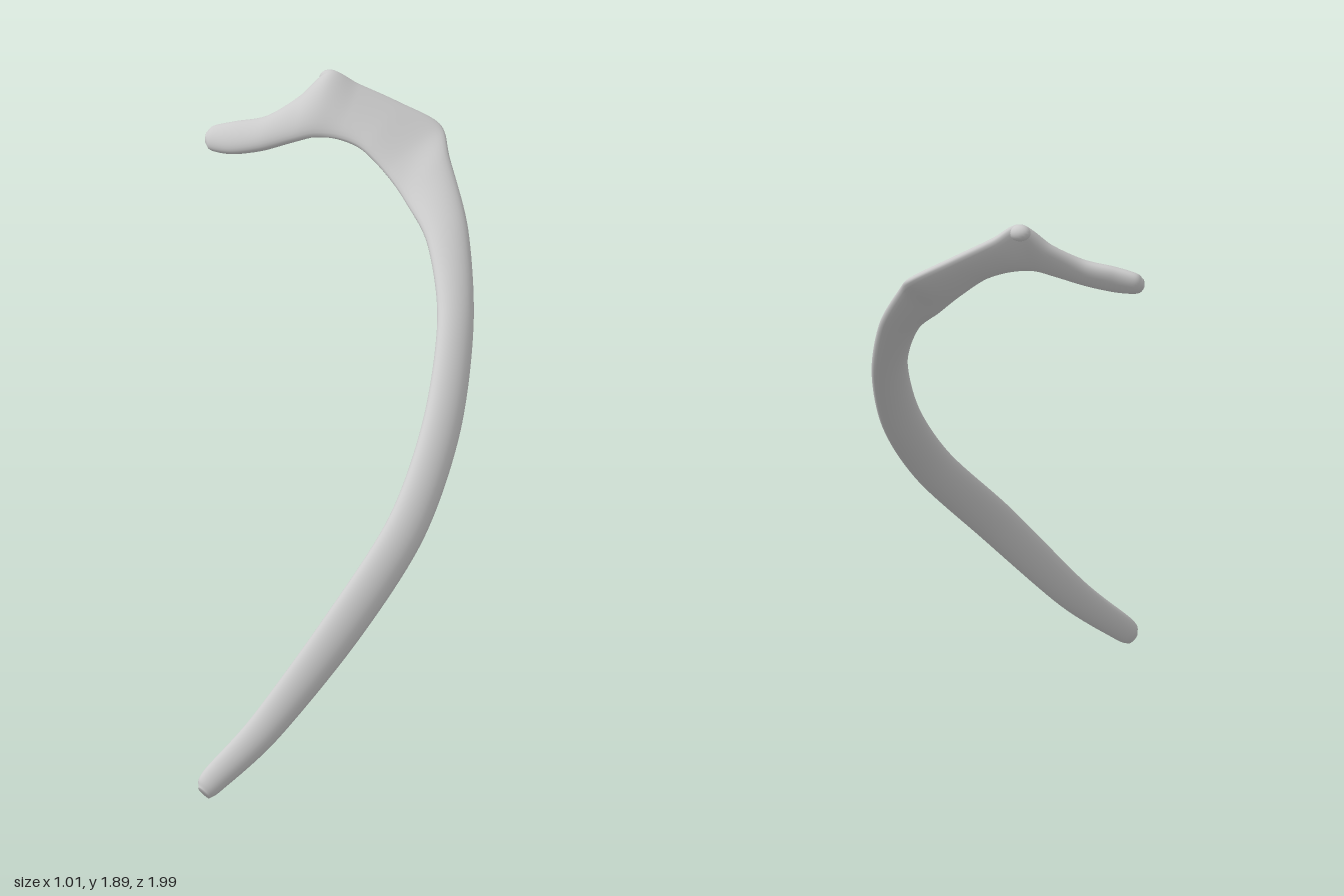
import * as THREE from 'three';

// Stations along the rib, from the thin lower end to the head:
// outer edge x,y,z, inner edge x,y,z, half thickness
const STATIONS = [
  [-0.11, 0.01, 0.985, -0.145, 0.045, 0.99, 0.015],
  [-0.07, 0.035, 0.955, -0.135, 0.095, 0.96, 0.028],
  [0.085, 0.175, 0.815, 0.00, 0.25, 0.83, 0.034],
  [0.30, 0.45, 0.58, 0.205, 0.55, 0.60, 0.037],
  [0.452, 0.71, 0.275, 0.35, 0.80, 0.305, 0.039],
  [0.499, 0.965, -0.07, 0.395, 1.035, -0.01, 0.039],
  [0.475, 1.23, -0.39, 0.375, 1.275, -0.315, 0.038],
  [0.40, 1.47, -0.66, 0.29, 1.45, -0.545, 0.036],
  [0.295, 1.645, -0.86, 0.19, 1.54, -0.675, 0.034],
  [0.235, 1.715, -0.985, 0.11, 1.615, -0.735, 0.033],
  [0.10, 1.785, -0.975, 0.02, 1.685, -0.77, 0.033],
  [-0.03, 1.85, -0.945, -0.06, 1.712, -0.778, 0.034],
  [-0.12, 1.9, -0.915, -0.14, 1.715, -0.772, 0.034],
  [-0.21, 1.82, -0.87, -0.21, 1.70, -0.755, 0.034],
  [-0.31, 1.76, -0.82, -0.31, 1.67, -0.735, 0.034],
  [-0.41, 1.74, -0.805, -0.41, 1.65, -0.735, 0.031],
  [-0.485, 1.72, -0.80, -0.485, 1.652, -0.75, 0.026],
  [-0.508, 1.70, -0.785, -0.508, 1.672, -0.765, 0.014],
];

const curveOf = (pick) => new THREE.CatmullRomCurve3(STATIONS.map(pick), false, 'catmullrom', 0.45);

// Lofts flattened oval sections between the two edge curves
function ribGeometry(steps, sides) {
  const outer = curveOf((s) => new THREE.Vector3(s[0], s[1], s[2]));
  const inner = curveOf((s) => new THREE.Vector3(s[3], s[4], s[5]));
  const depth = curveOf((s) => new THREE.Vector3(s[6], 0, 0));
  const middle = (t) => outer.getPoint(t).add(inner.getPoint(t)).multiplyScalar(0.5);
  const pos = [], idx = [];
  const d = 0.02;
  for (let i = 0; i <= steps; i++) {
    const t = i / steps;
    const c = middle(t);
    const w = outer.getPoint(t).sub(c);
    const tangent = middle(Math.min(1, t + d)).sub(middle(Math.max(0, t - d)));
    const b = tangent.cross(w).normalize().multiplyScalar(depth.getPoint(t).x);
    for (let j = 0; j < sides; j++) {
      const a = (j / sides) * Math.PI * 2;
      const p = c.clone().addScaledVector(w, Math.cos(a)).addScaledVector(b, Math.sin(a));
      pos.push(p.x, p.y, p.z);
    }
  }
  for (let i = 0; i < steps; i++) {
    for (let j = 0; j < sides; j++) {
      const k = (j + 1) % sides;
      const a = i * sides + j, e = i * sides + k;
      idx.push(a, e, e + sides, a, e + sides, a + sides);
    }
  }
  // Rounded-off end caps
  const first = middle(0), last = middle(1);
  const n = pos.length / 3;
  pos.push(first.x, first.y, first.z, last.x, last.y, last.z);
  for (let j = 0; j < sides; j++) {
    const k = (j + 1) % sides;
    idx.push(n, k, j, n + 1, steps * sides + j, steps * sides + k);
  }
  const g = new THREE.BufferGeometry();
  g.setAttribute('position', new THREE.Float32BufferAttribute(pos, 3));
  g.setIndex(idx);
  g.computeVertexNormals();
  return g;
}

export function createModel() {
  const model = new THREE.Group();
  model.name = 'ribBone';
  const bone = new THREE.MeshStandardMaterial({ color: 0xcccccc });

  // Shaft, angle, tubercle and head in one continuous surface
  const rib = new THREE.Mesh(ribGeometry(170, 28), bone);
  rib.name = 'rib';
  model.add(rib);

  // Small knob on the tubercle
  const knob = new THREE.Mesh(new THREE.SphereGeometry(0.028, 16, 12), bone);
  knob.name = 'tubercleKnob';
  knob.scale.set(1.3, 1, 1);
  knob.position.set(-0.12, 1.875, -0.915);
  model.add(knob);
  return model;
}
